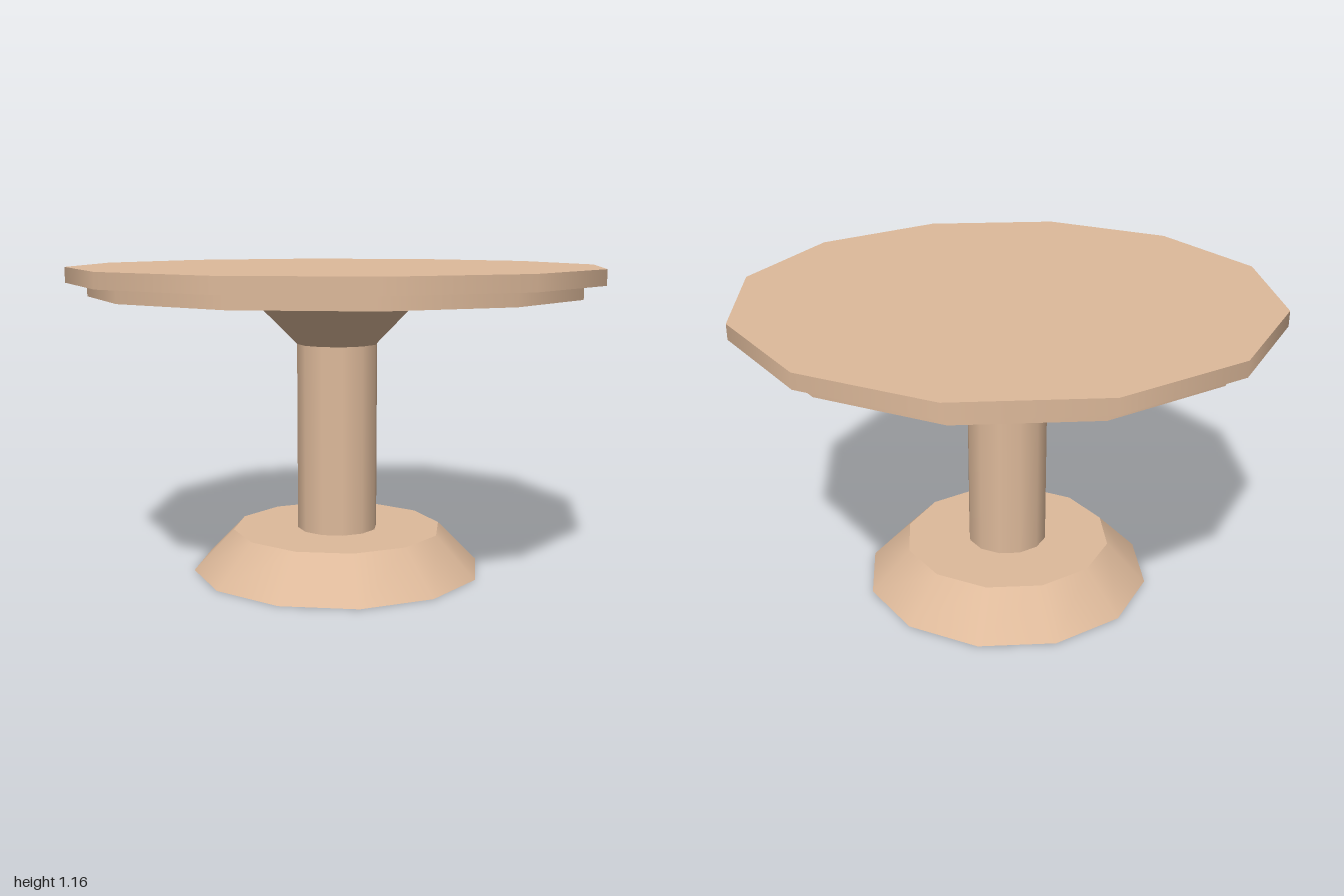
import * as THREE from 'three';

export function createModel() {
  const group = new THREE.Group();
  const wood = new THREE.MeshStandardMaterial({ color: 0xdeba9b });
  wood.name = 'light wood';

  // Twelve-sided drum or cone section between two heights
  function section(name, bottomRadius, topRadius, y0, y1) {
    const geometry = new THREE.CylinderGeometry(topRadius, bottomRadius, y1 - y0, 12);
    const mesh = new THREE.Mesh(geometry, wood);
    mesh.name = name;
    mesh.position.y = (y0 + y1) / 2;
    group.add(mesh);
  }

  section('base', 0.553, 0.4, 0, 0.155);
  section('column', 0.153, 0.153, 0.155, 0.865);
  section('columnFlare', 0.153, 0.336, 0.865, 1.05);
  section('tabletopUnderside', 0.922, 0.922, 1.05, 1.1);
  section('tabletop', 1, 1, 1.1, 1.157);

  group.name = 'pedestalTable';
  return group;
}
